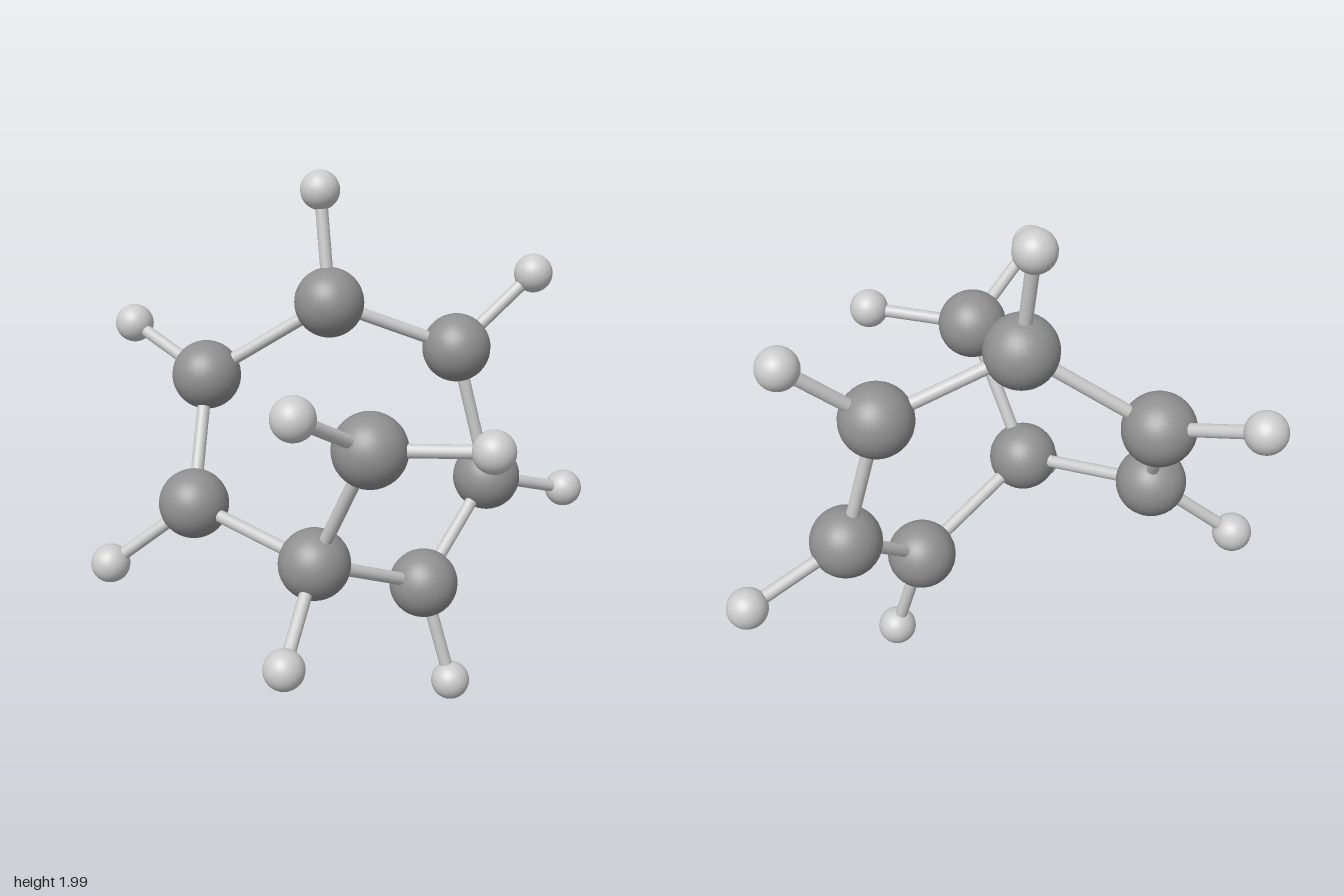
import * as THREE from 'three';

const V = (p) => new THREE.Vector3(...p);

// Each large atom: its centre and the small atoms attached to it
const ATOMS = [
  { at: [-0.065, 1.52, -0.29], small: [[-0.083, 1.926, -0.37]] },
  { at: [0.43, 1.32, -0.297], small: [[0.74, 1.588, -0.343]] },
  { at: [0.555, 0.797, -0.26], small: [[0.924, 0.67, -0.397]] },
  { at: [0.245, 0.478, 0.003], small: [[0.345, 0.08, 0.06]] },
  { at: [-0.212, 0.703, 0.25], small: [[-0.365, 0.453, 0.548]] },
  { at: [-0.606, 0.806, -0.153], small: [[-0.928, 0.56, -0.215]] },
  { at: [-0.522, 1.228, -0.416], small: [[-0.778, 1.37, -0.708]] },
  { at: [-0.055, 1.2, 0.474], small: [[-0.34, 1.4, 0.703], [0.325, 1.225, 0.633]] },
];

// Seven-membered ring plus one side branch
const BONDS = [[0, 1], [1, 2], [2, 3], [3, 4], [4, 5], [5, 6], [6, 0], [4, 7]];

export function createModel() {
  const group = new THREE.Group();
  group.name = 'molecule';

  const dark = new THREE.MeshStandardMaterial({ color: 0x909090 });
  const light = new THREE.MeshStandardMaterial({ color: 0xcccccc });
  const largeGeometry = new THREE.SphereGeometry(0.131, 32, 24);
  const smallGeometry = new THREE.SphereGeometry(0.074, 32, 24);
  const rodGeometry = new THREE.CylinderGeometry(0.024, 0.024, 1, 16);

  const add = (name, geometry, material, position) => {
    const mesh = new THREE.Mesh(geometry, material);
    mesh.name = name;
    mesh.position.copy(position);
    group.add(mesh);
    return mesh;
  };

  // Rod joining two atom centres
  const addBond = (name, a, b) => {
    const rod = add(name, rodGeometry, light, a.clone().lerp(b, 0.5));
    const direction = b.clone().sub(a);
    rod.scale.y = direction.length();
    rod.quaternion.setFromUnitVectors(new THREE.Vector3(0, 1, 0), direction.normalize());
  };

  // Large atoms with their small atoms
  ATOMS.forEach(({ at, small }, i) => {
    const centre = V(at);
    add(`largeAtom${i + 1}`, largeGeometry, dark, centre);
    small.forEach((p, j) => {
      add(`smallAtom${i + 1}_${j + 1}`, smallGeometry, light, V(p));
      addBond(`outerBond${i + 1}_${j + 1}`, centre, V(p));
    });
  });

  // Frame bonds between large atoms
  BONDS.forEach(([a, b]) => addBond(`frameBond${a + 1}_${b + 1}`, V(ATOMS[a].at), V(ATOMS[b].at)));

  return group;
}
